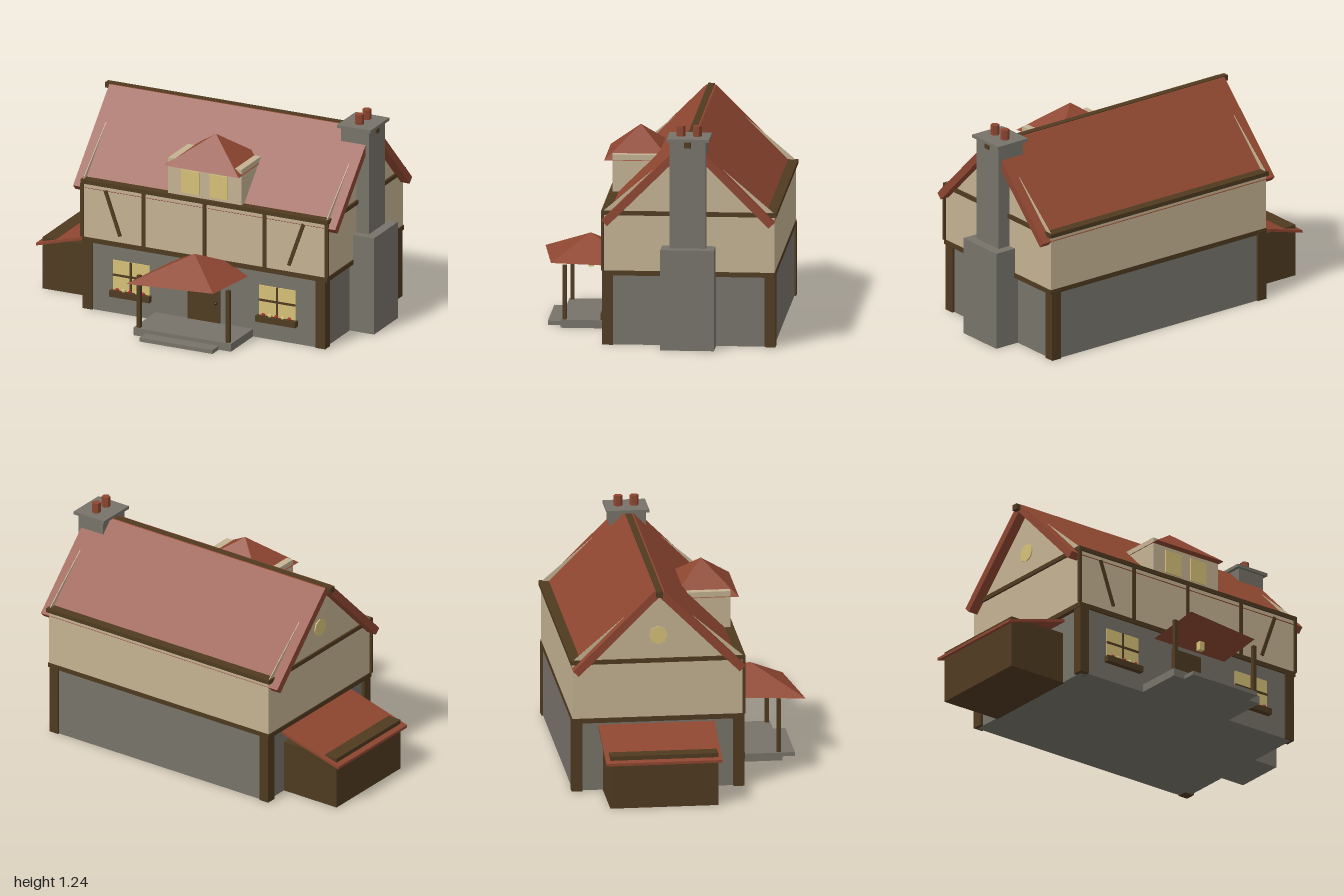
import * as THREE from 'three';

const paint = (name, color) => {
  const m = new THREE.MeshStandardMaterial({ color });
  m.name = name;
  return m;
};

export function createModel() {
  const stone = paint('stone', 0x77736a);
  const plaster = paint('plaster', 0xc4b292);
  const timber = paint('timber', 0x4f3a20);
  const tile = paint('roof tile', 0x8e4630);
  const glass = paint('lit glass', 0xd6c078);
  const flower = paint('flower red', 0xa03028);
  const metal = paint('dark metal', 0x2e2418);

  const house = new THREE.Group();
  house.name = 'cottage';
  const CX = 0.12, CZ = -0.195; // centre of the main block

  const add = (name, geo, mat, parent = house) => {
    const mesh = new THREE.Mesh(geo, mat);
    mesh.name = name;
    parent.add(mesh);
    return mesh;
  };
  // Box given by its limits on each axis
  const box = (name, mat, x0, x1, y0, y1, z0, z1, parent) => {
    const mesh = add(name, new THREE.BoxGeometry(x1 - x0, y1 - y0, z1 - z0), mat, parent);
    mesh.position.set((x0 + x1) / 2, (y0 + y1) / 2, (z0 + z1) / 2);
    return mesh;
  };
  // Outline in (z, y) extruded along x
  const prism = (name, mat, points, x0, x1) => {
    const shape = new THREE.Shape(points.map(([z, y]) => new THREE.Vector2(-z, y)));
    const geo = new THREE.ExtrudeGeometry(shape, { depth: x1 - x0, bevelEnabled: false });
    geo.rotateY(Math.PI / 2);
    geo.translate(x0, 0, 0);
    return add(name, geo, mat);
  };
  // Closed four-sided roof from an apex and base corners in (x, z)
  const pyramid = (name, apex, baseY, corners) => {
    const base = corners.map(([x, z]) => [x, baseY, z]);
    const pos = [];
    base.forEach((p, i) => pos.push(...p, ...base[(i + 1) % 4], ...apex));
    pos.push(...base[0], ...base[2], ...base[1], ...base[0], ...base[3], ...base[2]);
    const geo = new THREE.BufferGeometry();
    geo.setAttribute('position', new THREE.Float32BufferAttribute(pos, 3));
    geo.computeVertexNormals();
    return add(name, geo, tile);
  };

  // Walls and floor beams
  box('groundFloor', stone, -0.61, 0.85, 0, 0.4, -0.665, 0.275);
  box('floorBeam', timber, -0.635, 0.875, 0.393, 0.42, -0.672, 0.285);
  box('upperFloor', plaster, -0.63, 0.87, 0.42, 0.735, -0.67, 0.28);
  box('eaveBeam', timber, -0.642, 0.882, 0.733, 0.757, -0.682, 0.289);
  for (const x of [-0.6, 0.835])
    for (const z of [0.255, -0.645])
      box('cornerPost', timber, x - 0.03, x + 0.03, 0, 0.41, z - 0.03, z + 0.03);

  // Front timber frame
  for (const x of [-0.633, -0.255, 0.12, 0.492, 0.873])
    box('frontStud', timber, x - 0.01, x + 0.01, 0.42, 0.735, 0.275, 0.289);
  for (const s of [-1, 1]) {
    const brace = box('brace', timber, -0.01, 0.01, -0.135, 0.135, -0.005, 0.005);
    brace.position.set(CX + s * 0.565, 0.585, 0.283);
    brace.rotation.z = -s * 0.34;
  }

  // Gables, main roof and ridge
  for (const x of [-0.63, 0.868])
    prism('gable', plaster, [[CZ + 0.472, 0.755], [CZ, 1.16], [CZ - 0.472, 0.755]], x - 0.002, x + 0.002);
  const half = [[0.478, 0.71], [0.447, 0.68], [0, 1.125]];
  prism('mainRoof', tile, [
    [CZ + 0.028, 1.158], ...half.map(([z, y]) => [CZ + z, y]),
    [CZ - 0.447, 0.68], [CZ - 0.478, 0.71], [CZ - 0.028, 1.158],
  ], -0.69, 0.925);
  box('ridgeBeam', timber, -0.72, 0.952, 1.13, 1.162, CZ - 0.018, CZ + 0.018);

  // Round window in the left gable
  const round = add('roundWindow', new THREE.CylinderGeometry(0.052, 0.052, 0.009, 8), glass);
  round.rotation.z = Math.PI / 2;
  round.position.set(-0.634, 0.89, CZ);

  // Chimney with cap and pots
  box('chimneyBase', stone, 0.7, 1, 0, 0.565, -0.345, -0.048);
  box('chimneyStack', stone, 0.775, 0.945, 0.565, 1.165, -0.295, -0.095);
  box('chimneyCap', stone, 0.755, 0.963, 1.165, 1.182, -0.315, -0.08);
  for (const z of [-0.152, -0.242]) {
    const pot = add('chimneyPot', new THREE.CylinderGeometry(0.025, 0.025, 0.06, 6).toNonIndexed(), tile);
    pot.geometry.computeVertexNormals();
    pot.position.set(0.86, 1.21, z);
  }

  // Dormer
  box('dormerWall', plaster, -0.11, 0.342, 0.75, 0.965, -0.05, 0.27);
  pyramid('dormerRoof', [0.115, 1.095, 0.13], 0.932,
    [[-0.115, 0.315], [0.347, 0.315], [0.347, -0.055], [-0.115, -0.055]]);
  for (const x of [0.028, 0.203])
    box('dormerWindow', glass, x - 0.055, x + 0.055, 0.775, 0.91, 0.268, 0.276);

  // Lean-to shed on the left end
  box('shed', timber, -0.97, -0.6, 0, 0.3, -0.5, 0.1);
  const shedRoof = new THREE.Shape([[-1, 0.253], [-0.615, 0.36], [-0.615, 0.377], [-1, 0.268]]
    .map(([x, y]) => new THREE.Vector2(x, y)));
  add('shedRoof', new THREE.ExtrudeGeometry(shedRoof, { depth: 0.645, bevelEnabled: false }), tile)
    .position.z = -0.525;

  // Porch with a skewed hipped roof
  box('porchFloor', stone, -0.185, 0.415, 0, 0.045, 0.27, 0.55);
  box('porchStep', stone, -0.11, 0.34, 0, 0.022, 0.54, 0.627);
  for (const x of [-0.16, 0.39])
    box('porchPost', timber, x - 0.011, x + 0.011, 0.045, 0.35, 0.519, 0.541);
  pyramid('porchRoof', [0.12, 0.48, 0.405], 0.347,
    [[-0.165, 0.68], [0.335, 0.61], [0.405, 0.13], [-0.095, 0.2]]);
  box('lantern', glass, 0.1, 0.13, 0.29, 0.34, 0.39, 0.42);

  // Door and knob
  box('door', timber, 0.015, 0.215, 0.045, 0.32, 0.274, 0.283);
  add('doorKnob', new THREE.SphereGeometry(0.009, 8, 6), metal).position.set(0.192, 0.16, 0.287);

  // Front windows with flower boxes
  for (const x of [-0.333, 0.567]) {
    const win = new THREE.Group();
    win.name = 'frontWindow';
    win.position.x = x;
    house.add(win);
    box('pane', glass, -0.112, 0.112, 0.13, 0.312, 0.274, 0.281, win);
    box('mullion', timber, -0.006, 0.006, 0.13, 0.312, 0.276, 0.286, win);
    box('crossbar', timber, -0.112, 0.112, 0.221, 0.233, 0.276, 0.286, win);
    box('flowerBox', timber, -0.124, 0.124, 0.103, 0.138, 0.275, 0.308, win);
    for (let i = 0; i < 5; i++)
      add('flower', new THREE.IcosahedronGeometry(0.012, 0), i % 2 ? glass : flower, win)
        .position.set((i - 2) * 0.04, 0.145, 0.293);
  }
  return house;
}
